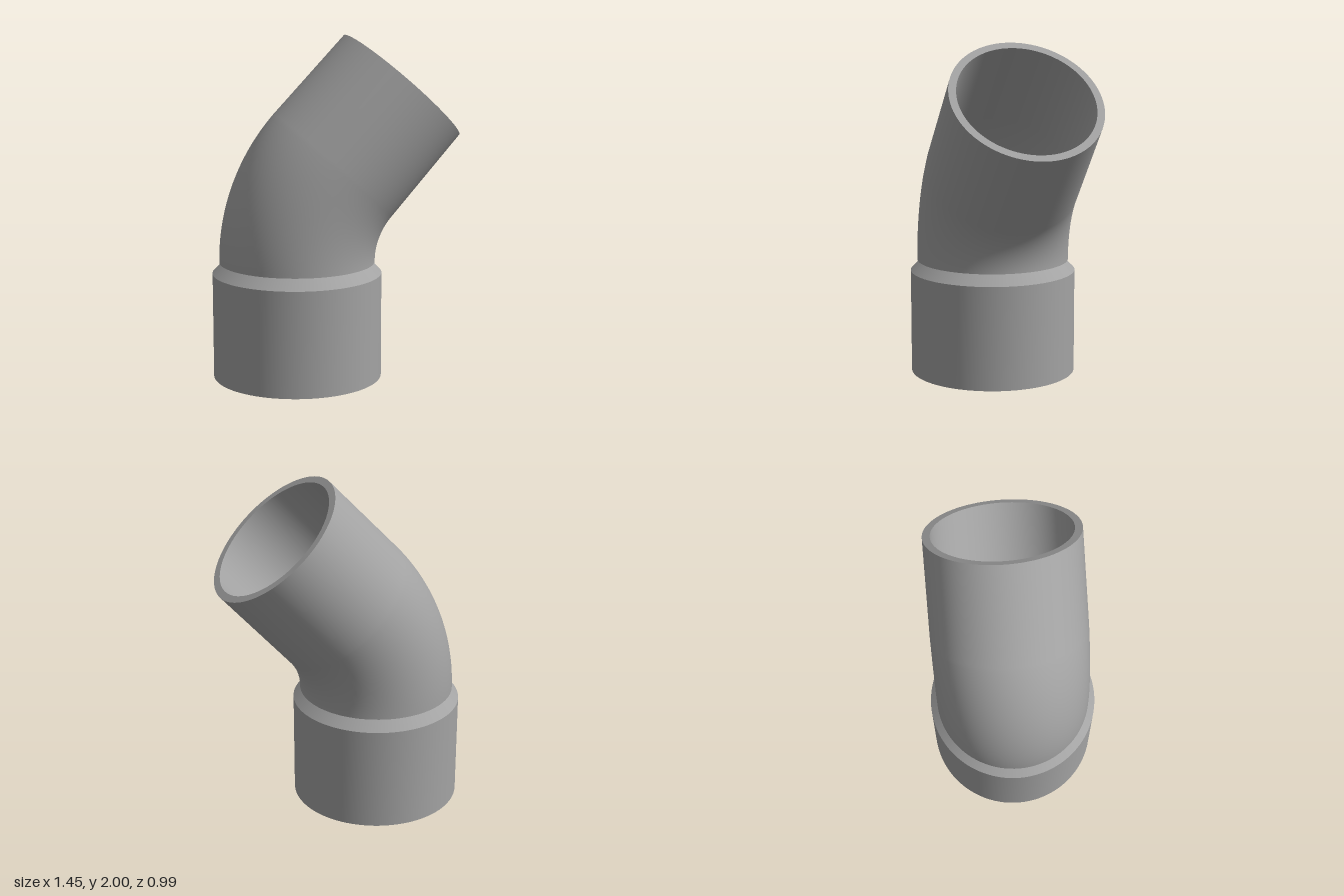
import * as THREE from 'three';

const SIDES = 96;
const BASE_X = -0.23;      // axis of the socket
const BEND_Y = 0.685;      // height where the bend starts
const BEND_R = 0.836;      // centreline bend radius
const BEND = THREE.MathUtils.degToRad(42);
const ARC = BEND_R * BEND;
const END = BEND_Y + ARC + 0.615;

// Centreline point and tilt at distance s: straight, arc, straight
function centreline(s) {
  const a = THREE.MathUtils.clamp((s - BEND_Y) / BEND_R, 0, BEND);
  const rest = Math.max(0, s - BEND_Y - ARC);
  return {
    x: BASE_X + BEND_R * (1 - Math.cos(a)) + rest * Math.sin(a),
    y: Math.min(s, BEND_Y) + BEND_R * Math.sin(a) + rest * Math.cos(a),
    a,
  };
}

// Skin of circular rings, each given as [distance along centreline, radius]
function skin(rings) {
  const pos = [], index = [];
  rings.forEach(([s, r], i) => {
    const c = centreline(s);
    for (let j = 0; j < SIDES; j++) {
      const p = (j / SIDES) * Math.PI * 2;
      const u = r * Math.cos(p);
      pos.push(c.x + u * Math.cos(c.a), c.y - u * Math.sin(c.a), r * Math.sin(p));
      if (i === 0) continue;
      const k = (j + 1) % SIDES, lo = (i - 1) * SIDES, hi = i * SIDES;
      index.push(lo + j, hi + j, lo + k, hi + j, hi + k, lo + k);
    }
  });
  const g = new THREE.BufferGeometry();
  g.setAttribute('position', new THREE.Float32BufferAttribute(pos, 3));
  g.setIndex(index);
  g.computeVertexNormals();
  return g;
}

// Rings along the bend followed by the straight spigot
function bendRings(r0, r1) {
  const rings = [];
  for (let i = 0; i <= 32; i++) rings.push([BEND_Y + (ARC * i) / 32, r0]);
  rings.push([END, r1]);
  return rings;
}

export function createModel() {
  const model = new THREE.Group();
  model.name = 'pipeElbow';
  const grey = new THREE.MeshStandardMaterial({ color: 0xa3a3a3 });
  grey.name = 'grey plastic';

  const add = (name, rings) => {
    const mesh = new THREE.Mesh(skin(rings), grey);
    mesh.name = name;
    model.add(mesh);
  };

  // Socket
  add('socketRim', [[0, 0.46], [0, 0.495]]);
  add('socketWall', [[0, 0.495], [0.62, 0.495]]);
  add('socketChamfer', [[0.62, 0.495], [BEND_Y, 0.43]]);
  add('socketStop', [[0.62, 0.41], [0.62, 0.46]]);
  add('socketBore', [[0.62, 0.46], [0, 0.46]]);

  // Elbow
  add('elbowLip', [[BEND_Y, 0.43], [BEND_Y, 0.455]]);
  add('elbowWall', bendRings(0.455, 0.444));
  add('elbowRim', [[END, 0.444], [END, 0.4]]);
  add('elbowBore', [[0.62, 0.41], ...bendRings(0.41, 0.4)].reverse());

  return model;
}
